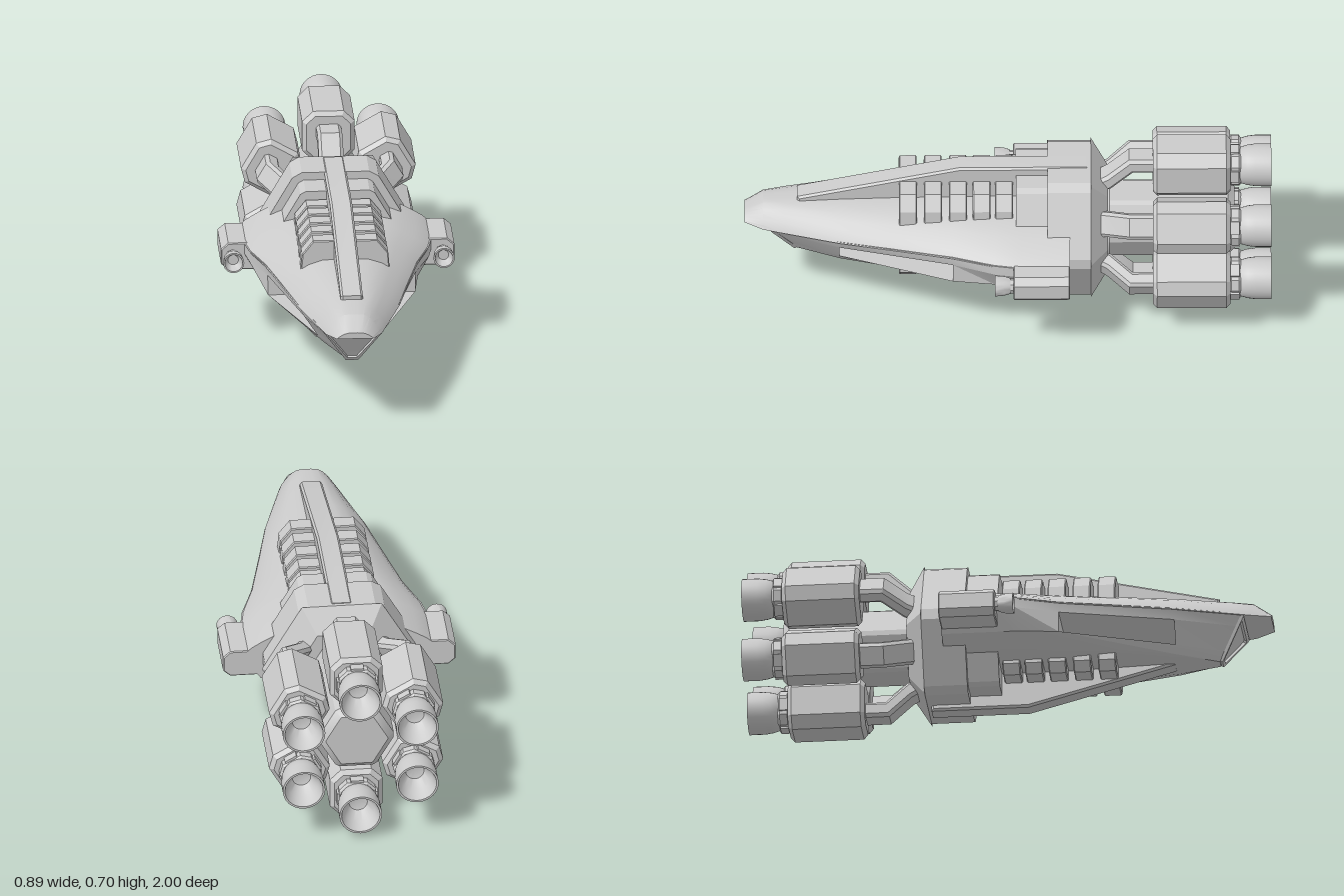
import * as THREE from 'three';
import { toCreasedNormals } from 'three/addons/utils/BufferGeometryUtils.js';

const AXIS = 0.355; // height of the ship's centre line
const mat = new THREE.MeshStandardMaterial({ color: 0xcccccc });
const matDouble = new THREE.MeshStandardMaterial({ color: 0xcccccc, side: THREE.DoubleSide });

function add(parent, name, geo, crease = 0.45, material = mat) {
  const mesh = new THREE.Mesh(toCreasedNormals(geo, crease), material);
  mesh.name = name;
  parent.add(mesh);
  return mesh;
}

// Capped skin over mirrored half sections, ordered back to front, points bottom to top
function loft(halves) {
  const rings = halves.map(h => [...h, ...h.slice().reverse().map(([x, y, z]) => [-x, y, z])]);
  const n = rings[0].length, idx = [];
  for (let i = 0; i < rings.length - 1; i++) {
    for (let j = 0; j < n; j++) {
      const a = i * n + j, b = i * n + (j + 1) % n;
      idx.push(a, b, b + n, a, b + n, a + n);
    }
  }
  const last = (rings.length - 1) * n;
  for (let j = 1; j < n - 1; j++) idx.push(0, j + 1, j, last, last + j, last + j + 1);
  const geo = new THREE.BufferGeometry();
  geo.setAttribute('position', new THREE.Float32BufferAttribute(rings.flat(2), 3));
  geo.setIndex(idx);
  return geo;
}

const shapeOf = pts => new THREE.Shape(pts.map(p => new THREE.Vector2(p[0], p[1])));

// Prism along z from a cross-section in x, y
function prism(pts, z0, z1, bevel = 0) {
  const geo = new THREE.ExtrudeGeometry(shapeOf(pts), {
    depth: z1 - z0 - 2 * bevel, bevelEnabled: bevel > 0,
    bevelSize: bevel, bevelThickness: bevel, bevelSegments: 1,
  });
  return geo.translate(0, 0, z0 + bevel);
}

// Plate across x from a side outline in z, y
function plate(pts, width, bevel = 0.008) {
  const geo = new THREE.ExtrudeGeometry(shapeOf(pts), {
    depth: width - 2 * bevel, bevelEnabled: true,
    bevelSize: bevel, bevelOffset: -bevel, bevelThickness: bevel, bevelSegments: 1,
  });
  return geo.translate(0, 0, bevel - width / 2).rotateY(-Math.PI / 2);
}

// Hexagon with a flat top and cut corners
function hexagon(r, cut) {
  const pts = [];
  for (let k = 0; k < 6; k++) {
    const p = i => new THREE.Vector2(Math.cos(i * Math.PI / 3), Math.sin(i * Math.PI / 3)).multiplyScalar(r);
    const v = p(k);
    for (const o of [p(k - 1), p(k + 1)]) {
      const c = v.clone().lerp(o, cut);
      pts.push([c.x, c.y]);
    }
  }
  return pts;
}

const octagon = (w, c) => [[w, c - w], [w, w - c], [w - c, w], [c - w, w], [-w, w - c], [-w, c - w], [c - w, -w], [w - c, -w]];

// Lathe profile (radius, distance) turned to run along z
const bell = (pts, seg) =>
  new THREE.LatheGeometry(pts.map(p => new THREE.Vector2(p[0], p[1])), seg).rotateX(Math.PI / 2);

function buildHull(root) {
  const hull = new THREE.Group();
  hull.name = 'hull';
  root.add(hull);

  // Curved upper shell: z, half width, top
  const shell = [[-0.235, 0.36, 0.49], [-0.05, 0.36, 0.49], [0.05, 0.343, 0.49], [0.21, 0.29, 0.488],
    [0.45, 0.235, 0.484], [0.64, 0.193, 0.478], [0.85, 0.13, 0.467], [0.93, 0.105, 0.46], [1, 0.07, 0.412]];
  const arc = [[1, 0], [0.93, 0.2], [0.83, 0.4], [0.7, 0.63], [0.56, 0.82], [0.36, 0.97], [0.12, 1]];
  add(hull, 'upperShell', loft(shell.map(([z, w, top]) => {
    const base = z > 0.95 ? 0.388 : 0.38;
    return arc.map(([fx, fy]) => [w * fx, base + (top - base) * fy, z]);
  })), 0.5);

  // Lower hull: half widths at five heights, with a slot through both sides
  const heights = [0.21, 0.235, 0.265, 0.345, 0.385];
  const stations = [
    [-0.235, 0.12, 0.22, 0.3, 0.36, 0.36], [-0.05, 0.12, 0.22, 0.3, 0.36, 0.36],
    [0.05, 0.12, 0.22, 0.3, 0.343, 0.343], [0.21, 0.11, 0.215, 0.28, 0.282, 0.287],
    [0.64, 0.06, 0.095, 0.12, 0.172, 0.19],
  ].map(([z, ...w]) => w.map((x, k) => [x, k === 0 && z > 0.6 ? 0.224 : heights[k], z]));
  const noseZ = [0.8, 0.803, 0.82, 0.867, 0.89];
  const noseX = [0.022, 0.026, 0.04, 0.09, 0.115];
  stations.push(noseX.map((x, k) => [x, k ? heights[k] : 0.23, noseZ[k]]));
  const band = (from, to, a, b) => loft(stations.slice(a, b).map(s => s.slice(from, to)));
  add(hull, 'lowerFloor', band(0, 3, 0, 6));
  add(hull, 'lowerMiddleRear', band(2, 4, 0, 4));
  add(hull, 'lowerMiddleFront', band(2, 4, 4, 6));
  add(hull, 'lowerRoof', band(3, 5, 0, 6));

  // Raised frame around the chin window
  const frame = shapeOf([[-0.024, 0], [0.024, 0], [0.114, 0.173], [-0.114, 0.173]]);
  frame.holes.push(new THREE.Path([[-0.018, 0.014], [-0.094, 0.15], [-0.088, 0.158], [0.088, 0.158], [0.094, 0.15], [0.018, 0.014]]
    .map(p => new THREE.Vector2(...p))));
  const win = add(hull, 'windowFrame', new THREE.ExtrudeGeometry(frame, { depth: 0.012, bevelEnabled: false }));
  win.position.set(0, 0.234, 0.8);
  win.rotation.x = 0.54;

  // Spine and keel
  add(hull, 'spine', plate([[-0.3, 0.42], [0.8, 0.42], [0.8, 0.485], [0.18, 0.622], [-0.3, 0.622]], 0.085));
  add(hull, 'keel', plate([[-0.3, 0.07], [0.07, 0.07], [0.63, 0.222], [0.63, 0.26], [-0.3, 0.26]], 0.075));

  // Rows of ribs above and below
  const upperRib = [[-0.165, 0.45], [0.165, 0.45], [0.16, 0.505], [0.12, 0.556], [-0.12, 0.556], [-0.16, 0.505]];
  const lowerRib = [[-0.11, 0.174], [0.11, 0.174], [0.14, 0.205], [0.14, 0.24], [-0.14, 0.24], [-0.14, 0.205]];
  for (const z of [0.015, 0.1, 0.19, 0.285, 0.38]) {
    add(hull, 'upperRib', prism(upperRib, z - 0.034, z + 0.034, 0.004));
    add(hull, 'lowerRib', prism(lowerRib, z - 0.034, z + 0.034, 0.004));
  }
}

function buildStern(root) {
  const stern = new THREE.Group();
  stern.name = 'stern';
  stern.position.y = AXIS;
  root.add(stern);
  add(stern, 'frontCollar', prism(hexagon(0.27, 0.05), -0.235, -0.03));
  add(stern, 'rearCollar', prism(hexagon(0.305, 0.08), -0.315, -0.15));
  const tail = [[-0.38, 0.2], [-0.315, 0.305]].map(([z, r]) =>
    [-90, -60, -30, 0, 30, 60, 90].filter(a => a % 60 === 0)
      .map(a => [r * Math.cos(a * Math.PI / 180), r * Math.sin(a * Math.PI / 180), z]));
  add(stern, 'collarTaper', loft(tail));
  add(stern, 'engineCore', prism(hexagon(0.12, 0.03), -0.86, -0.36, 0.025));
}

// One engine, standing outward along +y from the centre line
function buildEngine() {
  const engine = new THREE.Group();
  engine.name = 'engine';
  add(engine, 'strut', plate([[-0.34, 0.15], [-0.34, 0.205], [-0.375, 0.225], [-0.46, 0.302],
    [-0.57, 0.302], [-0.57, 0.242], [-0.475, 0.242], [-0.39, 0.165]].reverse(), 0.095, 0.012));
  const pod = new THREE.Group();
  pod.name = 'pod';
  pod.position.y = 0.25;
  engine.add(pod);
  add(pod, 'podBody', prism(octagon(0.084, 0.032), -0.845, -0.55, 0.016));
  add(pod, 'neck', prism(octagon(0.062, 0.026), -0.885, -0.84, 0.008));
  for (let k = 0; k < 4; k++) {
    const clamp = add(pod, 'clamp', new THREE.BoxGeometry(0.05, 0.016, 0.04).translate(0, 0.07, -0.858));
    clamp.rotation.z = k * Math.PI / 2;
  }
  add(pod, 'nozzle', bell([[0.02, -0.875], [0.06, -0.875], [0.07, -0.885], [0.077, -0.91], [0.081, -0.94],
    [0.081, -1], [0.073, -1], [0.06, -0.95], [0.035, -0.905], [0, -0.895]], 32), 0.6, matDouble);
  return engine;
}

// Forward-facing thruster on the hull's side
function buildThruster(side) {
  const thruster = new THREE.Group();
  thruster.name = side > 0 ? 'leftThruster' : 'rightThruster';
  thruster.position.set(side * 0.4, 0.335, 0);
  const body = [[-0.09, -0.05], [0.015, -0.05], [0.04, -0.028], [0.04, 0.028], [0.015, 0.05], [-0.09, 0.05]]
    .map(([x, y]) => [x * side, y]);
  add(thruster, 'thrusterBody', prism(side > 0 ? body : body.reverse(), -0.235, -0.02, 0.004));
  add(thruster, 'thrusterNeck', new THREE.CylinderGeometry(0.028, 0.028, 0.04, 8).rotateX(Math.PI / 2).translate(0, 0, -0.005));
  add(thruster, 'thrusterNozzle', bell([[0.01, -0.01], [0.03, -0.008], [0.037, 0.015], [0.04, 0.05],
    [0.034, 0.05], [0.028, 0.025], [0.014, 0.008], [0, 0.005]], 24), 0.6, matDouble);
  return thruster;
}

export function createModel() {
  const root = new THREE.Group();
  root.name = 'spaceship';
  buildHull(root);
  buildStern(root);
  for (let k = 0; k < 6; k++) {
    const engine = buildEngine();
    engine.position.y = AXIS;
    engine.rotation.z = k * Math.PI / 3;
    root.add(engine);
  }
  root.add(buildThruster(1), buildThruster(-1));
  return root;
}
